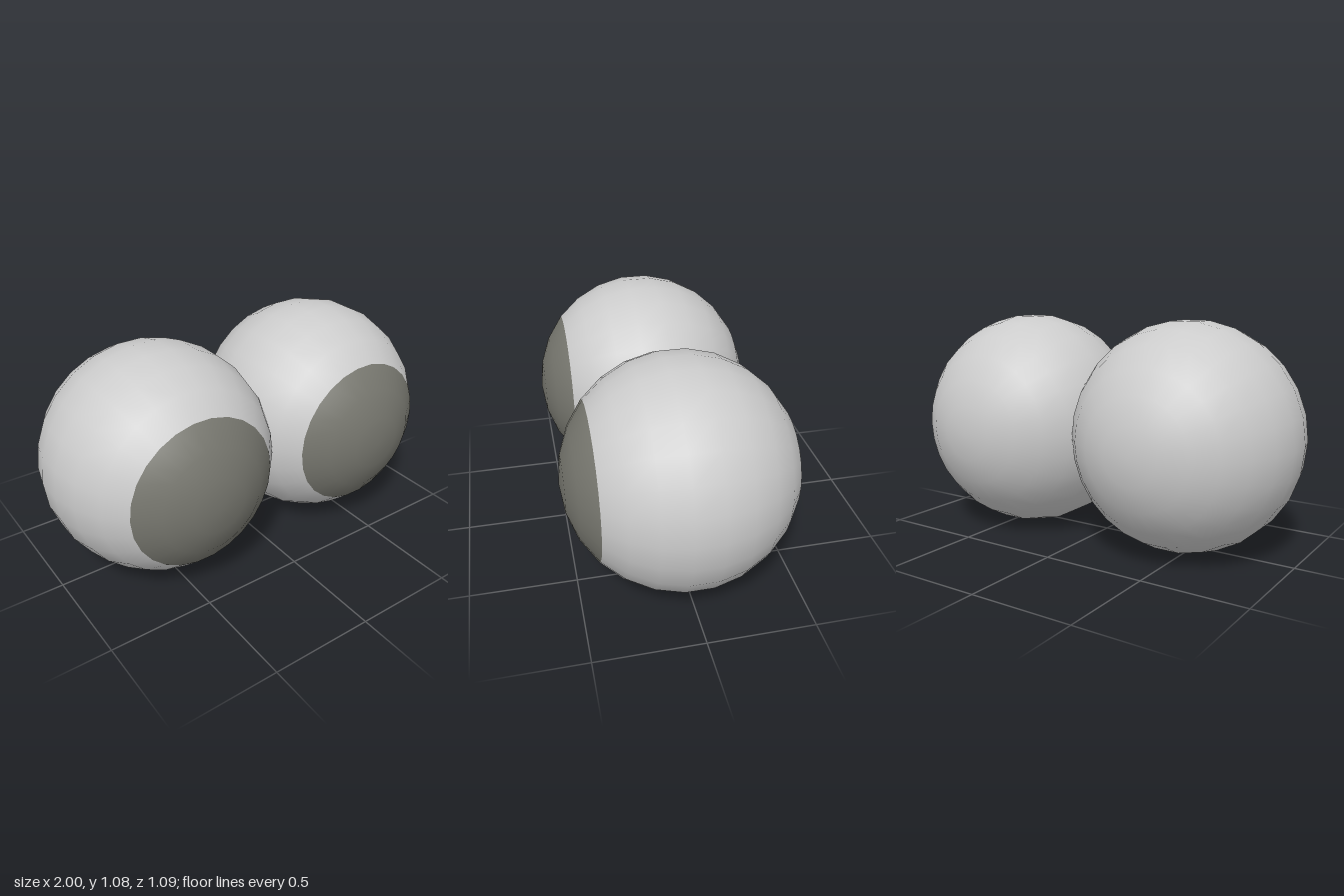
import * as THREE from 'three';

const RADIUS = 0.547;
const SIDES = 26;
const RINGS = 13;
const PUPIL_RINGS = 3;

// A band of rings of a sphere whose pole points forward (+z)
function sphereBand(firstRing, ringCount) {
  const step = Math.PI / RINGS;
  return new THREE.SphereGeometry(
    RADIUS, SIDES, ringCount, 0, Math.PI * 2, firstRing * step, ringCount * step
  ).rotateX(Math.PI / 2);
}

export function createModel() {
  const model = new THREE.Group();
  model.name = 'eyes';

  const white = new THREE.MeshStandardMaterial({ color: 0xcccccc });
  const dark = new THREE.MeshStandardMaterial({ color: 0x77776f });

  const eyeballGeometry = sphereBand(PUPIL_RINGS, RINGS - PUPIL_RINGS);
  const pupilGeometry = sphereBand(0, PUPIL_RINGS);

  // Two overlapping eyes, mirrored across x = 0
  for (const [name, side] of [['leftEye', 1], ['rightEye', -1]]) {
    const eye = new THREE.Group();
    eye.name = name;

    const eyeball = new THREE.Mesh(eyeballGeometry, white);
    eyeball.name = 'eyeball';

    // Dark cap on the front of the eyeball
    const pupil = new THREE.Mesh(pupilGeometry, dark);
    pupil.name = 'pupil';

    eye.add(eyeball, pupil);
    eye.position.set(side * 0.457, 0.54, 0);
    model.add(eye);
  }

  return model;
}
